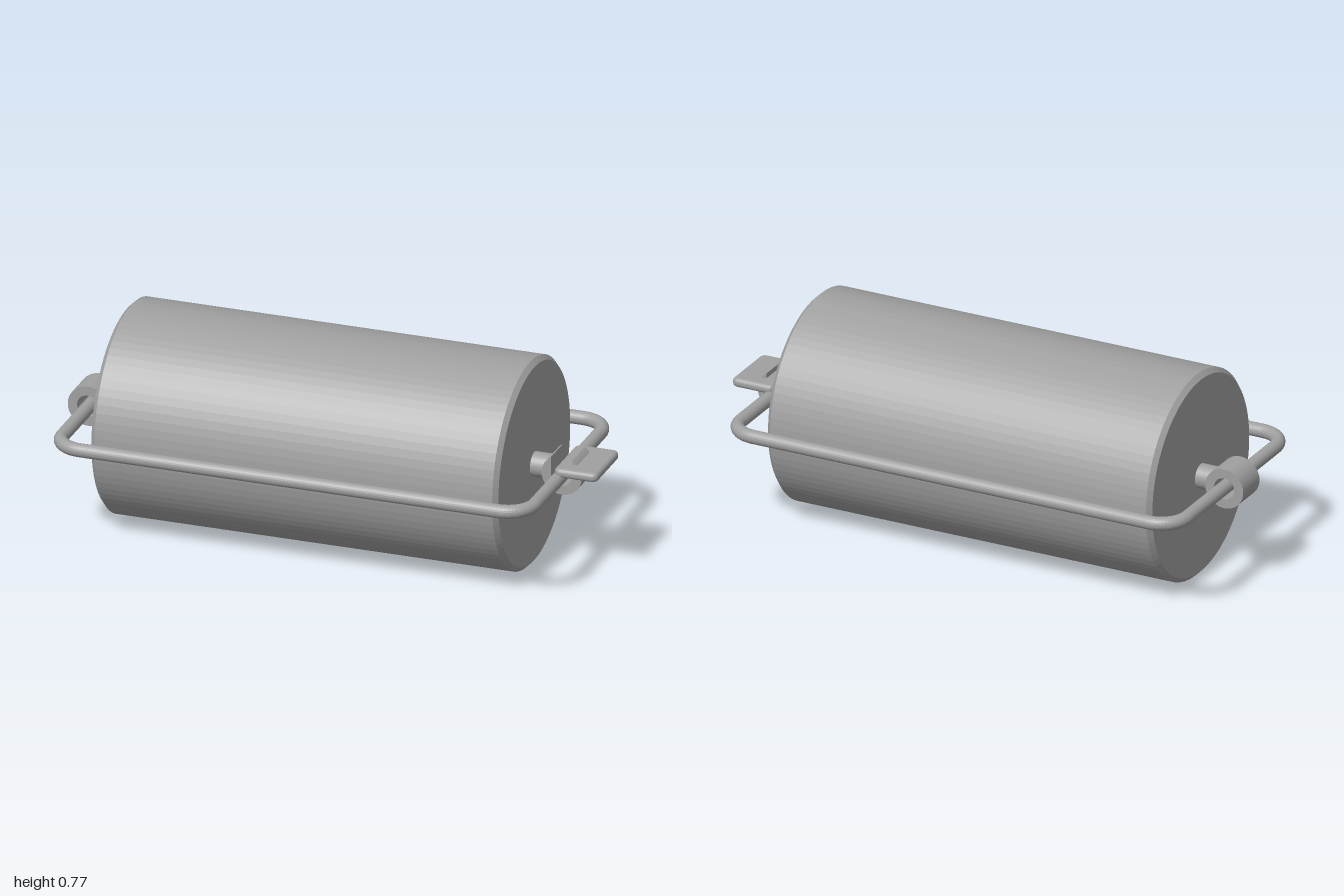
import * as THREE from 'three';

const steel = new THREE.MeshStandardMaterial({ color: 0xa0a0a0, flatShading: true });
steel.name = 'grey steel';

const AXIS_Y = 0.388;   // height of the roller axis
const LEFT_X = -0.925;  // closed eye
const RIGHT_X = 0.845;  // open hook
const EYE_OUT = 0.075, EYE_IN = 0.04, EYE_W = 0.124;

function add(parent, name, geometry, x = 0, y = 0, z = 0) {
  const mesh = new THREE.Mesh(geometry, steel);
  mesh.name = name;
  mesh.position.set(x, y, z);
  parent.add(mesh);
  return mesh;
}

// Cylinder lying along x between two ends
function rodX(parent, name, radius, x0, x1, z = 0, sides = 40) {
  const g = new THREE.CylinderGeometry(radius, radius, x1 - x0, sides).rotateZ(Math.PI / 2);
  return add(parent, name, g, (x0 + x1) / 2, 0, z);
}

// Extrude a side outline symmetrically about z = 0
function extrudeZ(shape, width) {
  const g = new THREE.ExtrudeGeometry(shape, { depth: width, bevelEnabled: false, curveSegments: 40 });
  return g.translate(0, 0, -width / 2);
}

// Rounded rectangular wire loop in the horizontal plane
function buildFrame() {
  const frame = new THREE.Group();
  frame.name = 'wireFrame';
  const r = 0.025, bend = 0.1, halfZ = 0.435;
  const x0 = -0.92, x1 = RIGHT_X;
  for (const s of [1, -1]) {
    rodX(frame, 'longRail', r, x0 + bend, x1 - bend, s * halfZ, 24);
    const end = new THREE.CylinderGeometry(r, r, 2 * (halfZ - bend), 24).rotateX(Math.PI / 2);
    add(frame, 'endRail', end, s > 0 ? x1 : x0, 0, 0);
  }
  const corners = [[x1, -1, 0], [x0, -1, 1], [x0, 1, 2], [x1, 1, 3]];
  for (const [x, sz, quarter] of corners) {
    const g = new THREE.TorusGeometry(bend, r, 24, 14, Math.PI / 2)
      .rotateX(-Math.PI / 2).rotateY(quarter * Math.PI / 2);
    add(frame, 'frameCorner', g, x + (x > 0 ? -bend : bend), 0, sz * (halfZ - bend));
  }
  return frame;
}

export function createModel() {
  const model = new THREE.Group();
  model.name = 'rollerWithFrame';
  const body = new THREE.Group();
  body.name = 'rollerAssembly';
  body.position.y = AXIS_Y;
  model.add(body);

  // Drum with chamfered rims
  const R = 0.386, c = 0.017, h = 0.76;
  const profile = [[0, -h], [R - c, -h], [R, -h + c], [R, h - c], [R - c, h], [0, h]]
    .map(([x, y]) => new THREE.Vector2(x, y));
  add(body, 'drum', new THREE.LatheGeometry(profile, 80).rotateZ(-Math.PI / 2), -0.04);

  // Short axle stubs
  rodX(body, 'leftAxle', 0.045, -0.87, -0.79);
  rodX(body, 'rightAxle', 0.045, 0.71, 0.79);

  body.add(buildFrame());

  // Closed eye around the frame
  const ring = new THREE.Shape();
  ring.absarc(0, 0, EYE_OUT, 0, Math.PI * 2);
  const hole = new THREE.Path();
  hole.absarc(0, 0, EYE_IN, 0, Math.PI * 2, true);
  ring.holes.push(hole);
  add(body, 'closedEye', extrudeZ(ring, EYE_W), LEFT_X);

  // Hook open at the top
  const a = Math.acos(EYE_IN / EYE_OUT);
  const hook = new THREE.Shape();
  hook.absarc(0, 0, EYE_OUT, Math.PI - a, Math.PI * 2 + a, false);
  hook.lineTo(EYE_IN, 0);
  hook.absarc(0, 0, EYE_IN, 0, -Math.PI, true);
  hook.closePath();
  add(body, 'openHook', extrudeZ(hook, EYE_W), RIGHT_X);

  // Latch plate with rounded edges, slotted over the hook tip
  const px = 0.067, pz = 0.105, k = 0.01;
  const plate = new THREE.Shape();
  plate.moveTo(-px + k, -pz);
  plate.lineTo(px - k, -pz);
  plate.quadraticCurveTo(px, -pz, px, -pz + k);
  plate.lineTo(px, pz - k);
  plate.quadraticCurveTo(px, pz, px - k, pz);
  plate.lineTo(-px + k, pz);
  plate.quadraticCurveTo(-px, pz, -px, pz - k);
  plate.lineTo(-px, -pz + k);
  plate.quadraticCurveTo(-px, -pz, -px + k, -pz);
  const plateGeo = new THREE.ExtrudeGeometry(plate, {
    depth: 0.004, bevelThickness: 0.015, bevelSize: 0.015, bevelSegments: 5, curveSegments: 6,
  }).translate(0, 0, -0.002).rotateX(-Math.PI / 2);
  add(body, 'latchPlate', plateGeo, 0.915, 0.029);

  return model;
}
